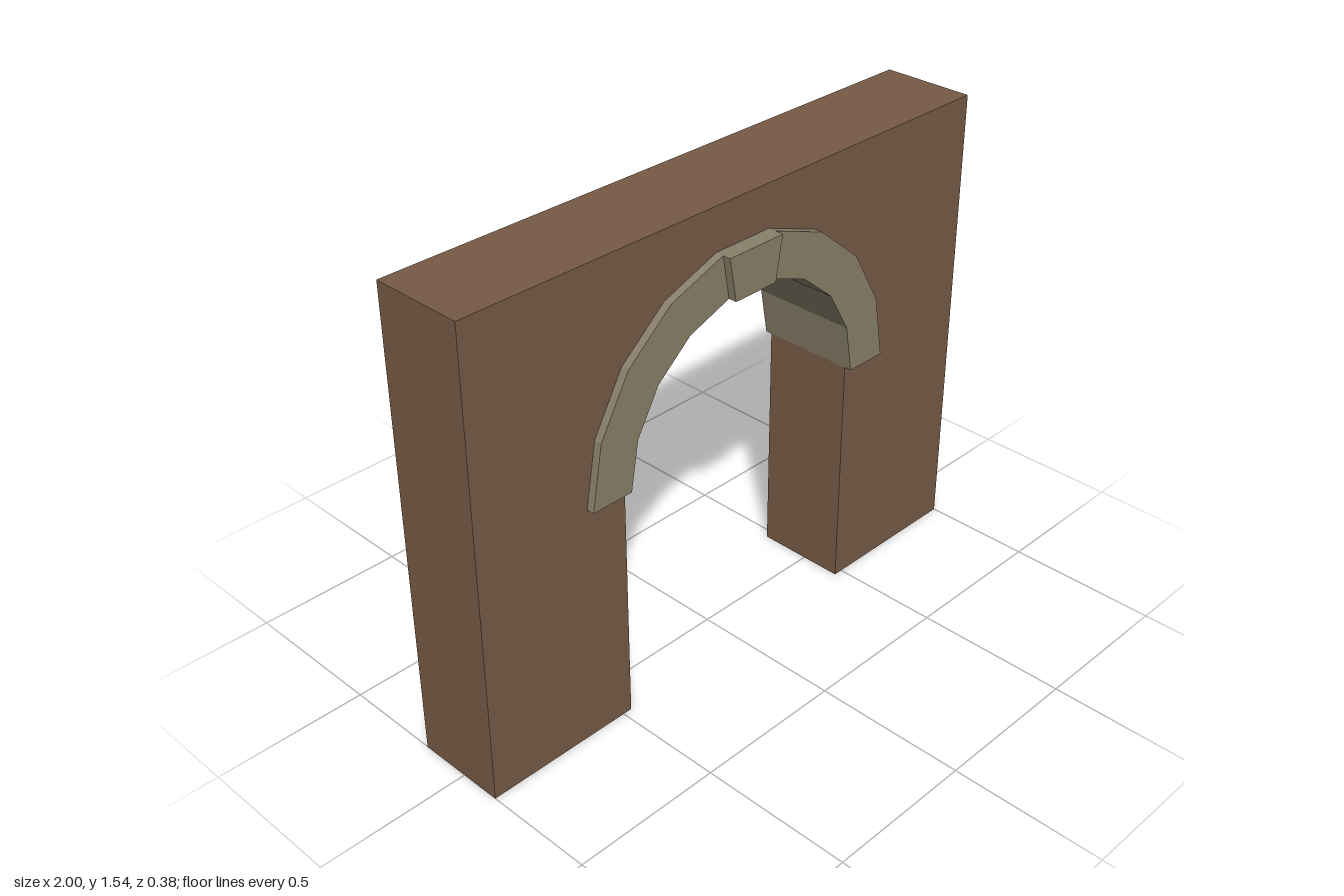
import * as THREE from 'three';

const SPRING = 0.8, SEGMENTS = 9;
const INNER = 0.466, OUTER = 0.61, OPENING = 0.469;

// Points along the faceted arch, from step a to step b (0 = model's left springing)
function arc(radius, a, b) {
  const points = [];
  for (let i = a; i <= b; i++) {
    const t = (i / SEGMENTS) * Math.PI;
    points.push(new THREE.Vector2(radius * Math.cos(t), SPRING + radius * Math.sin(t)));
  }
  return points;
}

// Extrude an outline between two depths
function slab(name, points, back, front, material) {
  const geometry = new THREE.ExtrudeGeometry(new THREE.Shape(points), {
    depth: front - back, bevelEnabled: false, steps: 1,
  });
  geometry.translate(0, 0, back);
  const mesh = new THREE.Mesh(geometry, material);
  mesh.name = name;
  return mesh;
}

// Wedge-shaped band covering arch steps a to b
const band = (a, b) => [...arc(OUTER, a, b), ...arc(INNER, a, b).reverse()];

export function createModel() {
  const group = new THREE.Group();
  group.name = 'archway';
  const brown = new THREE.MeshStandardMaterial({ color: 0x775b45 });
  brown.name = 'brown wall';
  const stone = new THREE.MeshStandardMaterial({ color: 0x888069 });
  stone.name = 'grey stone';

  // Wall with an arched opening down to the ground
  const v = (x, y) => new THREE.Vector2(x, y);
  const wallOutline = [
    v(OPENING, 0), v(1, 0), v(1, 1.54), v(-1, 1.54), v(-1, 0), v(-OPENING, 0),
    ...arc(OPENING, 0, SEGMENTS).reverse(),
  ];
  group.add(slab('wall', wallOutline, -0.171, 0.137, brown));

  // Stone arch lining the opening, proud of both faces
  group.add(slab('archRing', band(0, SEGMENTS), -0.19, 0.163, stone));

  // Keystone on the front only
  group.add(slab('keystone', band(4, 5), 0.163, 0.19, stone));
  return group;
}
